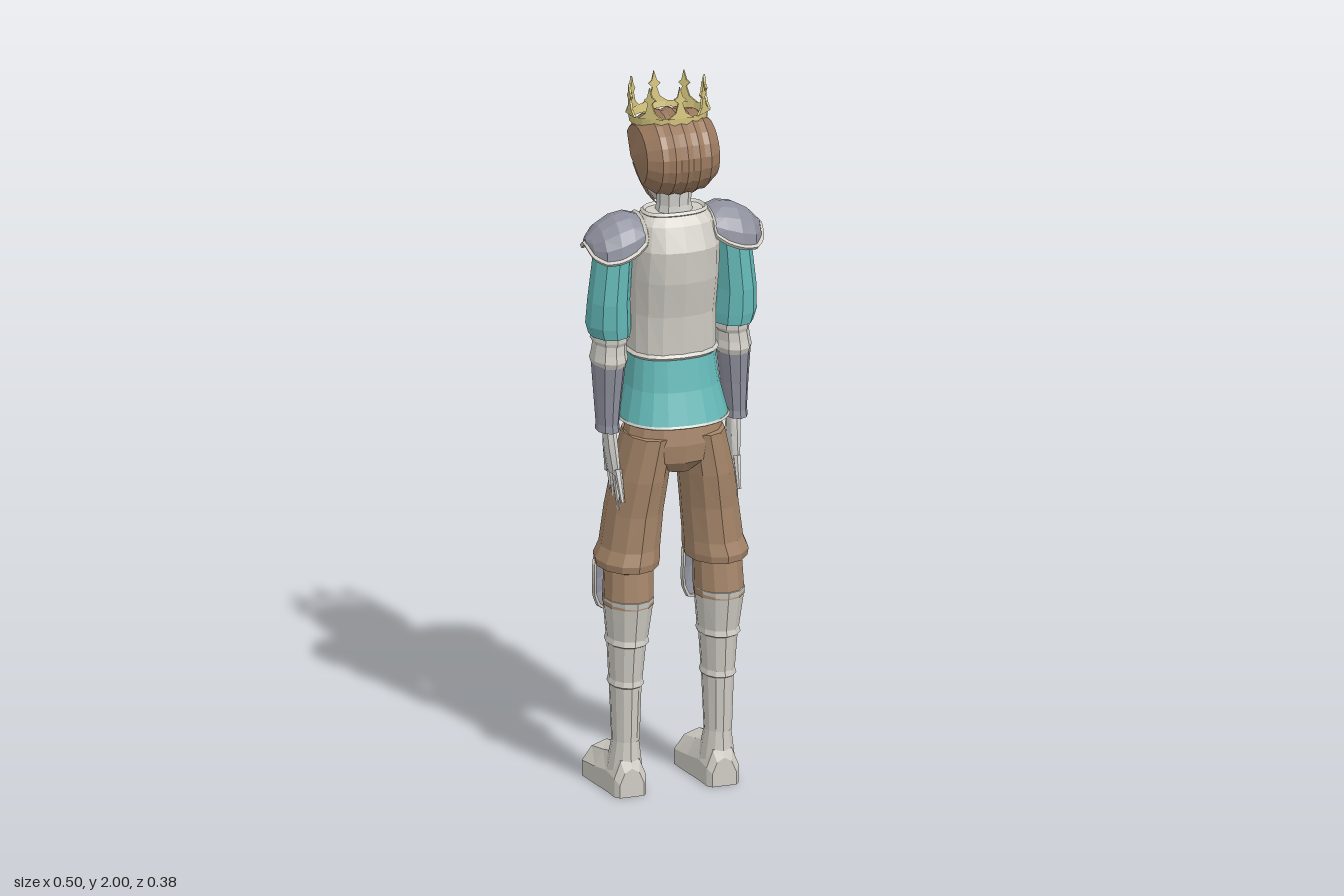
import * as THREE from 'three';

const mat = (name, color) => {
  const m = new THREE.MeshStandardMaterial({ color, flatShading: true, side: THREE.DoubleSide });
  m.name = name;
  return m;
};
const M = {
  plate: mat('pale armour', 0xd0cdc5), steel: mat('grey steel', 0x8e909d), teal: mat('teal cloth', 0x65bab9),
  pants: mat('brown trousers', 0xa6866a), hair: mat('brown hair', 0x9c7a5f), skin: mat('pale skin', 0xd3d2ce),
  gold: mat('gold', 0xd2c27c), dark: mat('dark eyes', 0x4a4542),
};

// Surface swept from fn(u, v), u and v in 0..1
function grid(nu, nv, fn) {
  const pos = [], idx = [];
  for (let j = 0; j <= nv; j++) for (let i = 0; i <= nu; i++) pos.push(...fn(i / nu, j / nv));
  for (let j = 0; j < nv; j++) for (let i = 0; i < nu; i++) {
    const a = j * (nu + 1) + i, c = a + nu + 1;
    idx.push(a, a + 1, c, a + 1, c + 1, c);
  }
  const g = new THREE.BufferGeometry();
  g.setAttribute('position', new THREE.Float32BufferAttribute(pos, 3));
  g.setIndex(idx);
  g.computeVertexNormals();
  return g;
}

// Point of an oval section [y, centreX, halfWidth, frontZ, backZ]; angle 0 is the front
function oval([y, cx, rx, zf, zb], a, p = 1) {
  const pw = (t) => Math.sign(t) * Math.abs(t) ** p;
  return [cx + rx * pw(Math.sin(a)), y, (zf + zb) / 2 - ((zb - zf) / 2) * pw(Math.cos(a))];
}

// Capped body through oval sections listed from top to bottom
function loft(rows, n = 12, p = 1, bend = (q) => q) {
  const cap = ([y, cx, , zf, zb]) => [y, cx, 0, (zf + zb) / 2, (zf + zb) / 2];
  const all = [cap(rows[0]), ...rows, cap(rows[rows.length - 1])];
  const nv = all.length - 1;
  return grid(n, nv, (u, v) => {
    const j = Math.round(v * nv);
    return bend(oval(all[j], u * Math.PI * 2, p), j, Math.round(u * n) % n);
  });
}

function add(parent, name, geo, material) {
  const m = new THREE.Mesh(geo, material);
  m.name = name;
  parent.add(m);
  return m;
}

// Thin bead along a line of points
function bead(pts, r, closed = false) {
  const c = new THREE.CatmullRomCurve3(pts.map((q) => new THREE.Vector3(...q)), closed, 'catmullrom', 0.2);
  return new THREE.TubeGeometry(c, pts.length * 2, r, 4, closed);
}
const ring = (row, r, p = 1, n = 16) =>
  bead(Array.from({ length: n }, (_, i) => oval(row, (i / n) * Math.PI * 2, p)), r, true);

// Tapered rod between two points
function rod(a, b, r1, r2) {
  const A = new THREE.Vector3(...a), B = new THREE.Vector3(...b), d = B.clone().sub(A);
  const g = new THREE.CylinderGeometry(r2, r1, d.length(), 6);
  g.applyQuaternion(new THREE.Quaternion().setFromUnitVectors(new THREE.Vector3(0, 1, 0), d.normalize()));
  return g.translate(...A.add(B).multiplyScalar(0.5).toArray());
}

function makeLeg() {
  const g = new THREE.Group();
  add(g, 'trouserLeg', loft([[1.02, 0.07, 0.067, -0.045, 0.16], [0.9, 0.092, 0.074, -0.05, 0.155],
    [0.8, 0.106, 0.077, -0.058, 0.142], [0.7, 0.117, 0.08, -0.06, 0.14], [0.665, 0.125, 0.087, -0.07, 0.148],
    [0.645, 0.125, 0.084, -0.066, 0.144], [0.64, 0.125, 0.066, -0.02, 0.13], [0.54, 0.128, 0.068, -0.02, 0.14]]), M.pants);
  // Overlapping shin plates with flared lower edges
  add(g, 'greave', loft([[0.56, 0.128, 0.068, -0.021, 0.143], [0.445, 0.128, 0.055, -0.02, 0.122],
    [0.43, 0.129, 0.058, -0.024, 0.126], [0.425, 0.129, 0.051, -0.017, 0.116], [0.325, 0.13, 0.044, -0.015, 0.105],
    [0.31, 0.13, 0.048, -0.019, 0.109], [0.305, 0.13, 0.042, -0.013, 0.1], [0.15, 0.13, 0.037, 0, 0.092]]), M.plate);
  // Knee guard: curved plate narrowing to its lower edge
  const knee = (u, v) => {
    const a = (u - 0.5) * 2 * (1.25 + 0.5 * v - 1.1 * v * v), bulge = Math.sin(Math.PI * (0.25 + 0.6 * v));
    return [0.125 + 0.077 * Math.sin(a), 0.645 - 0.15 * v, 0.02 - (0.055 + 0.045 * bulge) * Math.cos(a)];
  };
  add(g, 'kneeGuard', grid(6, 4, knee), M.steel);
  const edge = [];
  for (let i = 0; i < 4; i++) edge.push(knee(i / 4, 0));
  for (let i = 0; i < 4; i++) edge.push(knee(1, i / 4));
  for (let i = 0; i < 4; i++) edge.push(knee(1 - i / 4, 1));
  for (let i = 0; i < 4; i++) edge.push(knee(0, 1 - i / 4));
  add(g, 'kneeGuardTrim', bead(edge, 0.006, true), M.plate);
  // Boot: flat-soled sections from heel to toe as [z, halfWidth, height]
  const S = [[0.1, 0, 0.05], [0.1, 0.034, 0.08], [0.085, 0.045, 0.115], [0.03, 0.05, 0.13], [-0.03, 0.06, 0.112],
    [-0.105, 0.07, 0.095], [-0.15, 0.047, 0.07], [-0.193, 0.004, 0.04]];
  const P = [[-1, 0], [-1, 0.45], [-0.6, 0.85], [0, 1], [0.6, 0.85], [1, 0.45], [1, 0], [-1, 0]];
  add(g, 'boot', grid(7, 7, (u, v) => {
    const [z, w, h] = S[Math.round(v * 7)], [x, y] = P[Math.round(u * 7)];
    return [0.13 + x * w, y * h, z];
  }), M.plate);
  add(g, 'ankle', loft([[0.16, 0.13, 0.034, 0.004, 0.088], [0.05, 0.13, 0.05, -0.03, 0.097]]), M.plate);
  return g;
}

function makeArm() {
  const g = new THREE.Group();
  add(g, 'sleeve', loft([[1.61, 0.15, 0.045, 0, 0.1], [1.52, 0.168, 0.052, -0.012, 0.112], [1.4, 0.178, 0.056, -0.018, 0.115],
    [1.33, 0.177, 0.06, -0.03, 0.112], [1.3, 0.173, 0.055, -0.028, 0.108]], 10), M.teal);
  add(g, 'elbowPlate', loft([[1.31, 0.17, 0.048, -0.026, 0.1], [1.285, 0.17, 0.051, -0.036, 0.1], [1.275, 0.172, 0.044, -0.022, 0.096],
    [1.25, 0.174, 0.046, -0.026, 0.1], [1.23, 0.174, 0.05, -0.033, 0.106], [1.215, 0.174, 0.046, -0.025, 0.1]], 10), M.plate);
  add(g, 'forearmGuard', loft([[1.235, 0.175, 0.047, -0.022, 0.1], [1.13, 0.178, 0.037, -0.01, 0.09],
    [1.05, 0.18, 0.03, 0, 0.086], [1.03, 0.18, 0.032, -0.002, 0.09]], 10), M.steel);
  // Shoulder guard: arched sections as [x, topY, lowerY, halfDepth]
  const S = [[0.095, 1.63, 1.575, 0.075], [0.13, 1.642, 1.55, 0.089], [0.17, 1.635, 1.535, 0.094],
    [0.21, 1.612, 1.53, 0.084], [0.235, 1.585, 1.54, 0.05], [0.245, 1.575, 1.565, 0.006]];
  const pad = (u, v) => {
    const [x, t, b, h] = S[Math.round(v * 5)], a = u * Math.PI;
    return [x, b + (t - b) * Math.sin(a), 0.05 - h * Math.cos(a)];
  };
  add(g, 'shoulderGuard', grid(8, 5, pad), M.steel);
  const rim = [];
  for (let i = 0; i <= 5; i++) rim.push(pad(0, i / 5));
  for (let i = 5; i >= 0; i--) rim.push(pad(1, i / 5));
  for (let i = 7; i >= 1; i--) rim.push(pad(i / 8, 0));
  add(g, 'shoulderGuardTrim', bead(rim, 0.007, true), M.plate);
  // Open hand with four fingers and a thumb
  const hand = new THREE.Group();
  hand.name = 'hand';
  g.add(hand);
  add(hand, 'palm', loft([[1.04, 0.175, 0.018, 0.018, 0.07], [0.98, 0.172, 0.018, 0.005, 0.085],
    [0.915, 0.168, 0.014, 0.018, 0.1]], 8), M.skin);
  const tips = [[0.028, 0.04, 0.83], [0.05, 0.067, 0.805], [0.072, 0.094, 0.815], [0.092, 0.122, 0.845]];
  for (const [z0, z1, y] of tips) add(hand, 'finger', rod([0.168, 0.93, z0], [0.164, y, z1], 0.011, 0.006), M.skin);
  add(hand, 'thumb', rod([0.172, 0.985, 0.02], [0.158, 0.89, -0.02], 0.013, 0.007), M.skin);
  return g;
}

function makeTorso() {
  const g = new THREE.Group();
  g.name = 'torso';
  add(g, 'hips', loft([[1.1, 0, 0.12, -0.05, 0.15], [1.0, 0, 0.138, -0.05, 0.163], [0.95, 0, 0.12, -0.045, 0.158],
    [0.915, 0, 0.05, -0.02, 0.13]], 14), M.pants);
  // Tunic skirt with a front slit
  const hem = [1.06, 0, 0.148, -0.085, 0.183];
  const slit = (q, j, i) => (j >= 3 && i === 0 ? [q[0], 1.14, q[2]] : q);
  add(g, 'tunic', loft([[1.28, 0, 0.112, -0.062, 0.132], [1.15, 0, 0.127, -0.074, 0.155], hem], 20, 0.85, slit), M.teal);
  const hemPts = [];
  for (let i = 0; i < 20; i++) hemPts.push(slit(oval(hem, (i / 20) * Math.PI * 2, 0.85), 3, i));
  add(g, 'tunicTrim', bead(hemPts, 0.005, true), M.plate);
  // Breastplate and backplate
  const waist = [1.245, 0, 0.12, -0.075, 0.14], collar = [1.64, 0, 0.085, 0.012, 0.118];
  add(g, 'cuirass', loft([collar, [1.615, 0, 0.108, -0.02, 0.145], [1.55, 0, 0.122, -0.062, 0.172],
    [1.46, 0, 0.125, -0.113, 0.167], [1.36, 0, 0.12, -0.096, 0.147], waist], 16, 0.8), M.plate);
  add(g, 'waistTrim', ring(waist, 0.008, 0.8), M.plate);
  add(g, 'collarTrim', ring(collar, 0.007, 0.8), M.plate);
  return g;
}

function makeHead() {
  const g = new THREE.Group();
  g.name = 'head';
  add(g, 'neck', loft([[1.74, 0, 0.048, 0.015, 0.115], [1.66, 0, 0.046, 0.018, 0.11], [1.62, 0, 0.055, 0.012, 0.115]], 10), M.skin);
  add(g, 'face', loft([[1.9, 0, 0.05, -0.02, 0.08], [1.87, 0, 0.075, -0.052, 0.11], [1.81, 0, 0.084, -0.066, 0.12],
    [1.75, 0, 0.08, -0.064, 0.11], [1.69, 0, 0.064, -0.06, 0.08], [1.65, 0, 0.034, -0.05, 0.04]], 14), M.skin);
  const nose = add(g, 'nose', new THREE.ConeGeometry(0.016, 0.06, 4), M.skin);
  nose.position.set(0, 1.772, -0.067);
  nose.rotation.x = 0.15;
  for (const s of [1, -1]) {
    const bits = [['eyebrow', 0.036, 0.009, 1.818, M.hair, 0.066], ['eye', 0.026, 0.01, 1.798, M.dark, 0.0635],
      ['moustache', 0.034, 0.014, 1.728, M.hair, 0.065]];
    for (const [name, w, h, y, m, z] of bits) {
      const b = add(g, name, new THREE.BoxGeometry(w, h, 0.009), m);
      b.position.set(s * (name === 'moustache' ? 0.016 : 0.033), y, -z + (name === 'moustache' ? 0 : 0.006));
      b.rotation.set(0, -0.28 * s, name === 'moustache' ? -0.3 * s : 0);
    }
  }
  // Beard: low under the mouth, rising to the temples
  add(g, 'beard', grid(14, 4, (u, v) => {
    const a = (u - 0.5) * 3.8, k = Math.abs(a) / 1.9, top = 1.7 + 0.11 * k * k, y = top + (1.634 - top) * v;
    const f = Math.min(1, Math.sqrt((y - 1.622) / 0.13)) * (Math.round(u * 14) % 2 ? 0.96 : 1.02);
    return [0.092 * f * Math.sin(a), y, 0.01 - 0.08 * (0.72 + 0.28 * f) * Math.cos(a)];
  }), M.hair);
  // Hair: ridged strands swept from the brow over to the nape
  add(g, 'hair', grid(12, 14, (u, v) => {
    const x = v * 2 - 1, s = Math.max(0, 1 - Math.abs(x) ** 2.8) ** (1 / 2.8) * (Math.round(v * 14) % 2 ? 1 : 0.955);
    const a = 0.55 + u * 3.65;
    return [0.119 * x, 1.8 + 0.117 * s * Math.sin(a), 0.055 - 0.132 * s * Math.cos(a)];
  }), M.hair);
  return g;
}

function makeCrown() {
  const g = new THREE.Group();
  g.name = 'crown';
  add(g, 'crownBand', new THREE.CylinderGeometry(0.107, 0.104, 0.024, 24, 1, true), M.gold);
  const half = [[0.036, 0], [0.014, 0.016], [0.006, 0.042], [0.017, 0.052], [0.007, 0.06]];
  const pts = [...half, [0, 0.086], ...half.map(([x, y]) => [-x, y]).reverse()];
  const shape = new THREE.Shape(pts.map(([x, y]) => new THREE.Vector2(x, y)));
  const geo = new THREE.ExtrudeGeometry(shape, { depth: 0.006, bevelEnabled: false }).translate(0, 0, -0.003);
  for (let i = 0; i < 8; i++) {
    const a = (i / 8) * Math.PI * 2, m = add(g, 'crownPoint', geo, M.gold);
    m.position.set(0.105 * Math.sin(a), 0.01, -0.105 * Math.cos(a));
    m.rotation.y = -a;
  }
  g.position.set(0, 1.891, 0.018);
  g.rotation.x = -0.12;
  return g;
}

export function createModel() {
  const model = new THREE.Group();
  model.name = 'armouredKing';
  model.add(makeTorso(), makeHead(), makeCrown());
  for (const [side, s] of [['left', 1], ['right', -1]]) {
    for (const [part, make] of [['Leg', makeLeg], ['Arm', makeArm]]) {
      const limb = make();
      limb.name = side + part;
      limb.scale.x = s;
      model.add(limb);
    }
  }
  return model;
}
